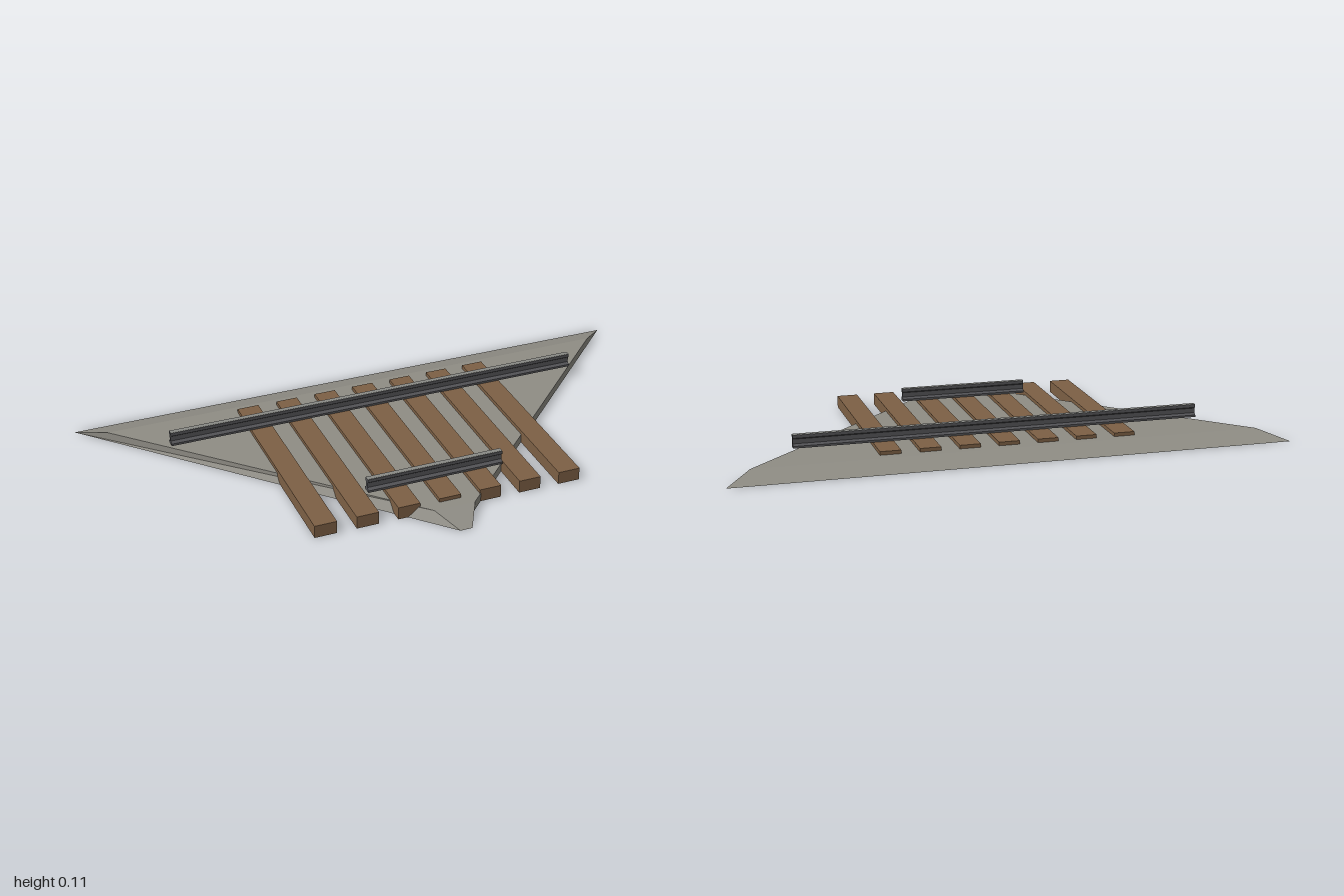
import * as THREE from 'three';

const material = (name, color, side = THREE.FrontSide) => {
  const m = new THREE.MeshStandardMaterial({ color, side });
  m.name = name;
  return m;
};

// Rail section: wide foot, thin web and a head, standing on y = 0
function railShape() {
  const half = [[0.018, 0], [0.018, 0.009], [0.006, 0.017], [0.006, 0.037], [0.012, 0.042], [0.012, 0.055]];
  const mirrored = half.map(([x, y]) => [-x, y]).reverse();
  return new THREE.Shape([...half, ...mirrored].map(([x, y]) => new THREE.Vector2(x, y)));
}

// Ballast bed cut to a corner, with sloping shoulders on both track sides
function ballastGeometry() {
  const h = 0.037;
  const base = [[-1, 0.7], [0.7, 0.735], [0.735, 0.7], [0.7, 0.7], [0.7, -1]];
  const top = [[-0.84, 0.7], [0.58, 0.7], [0.7, 0.58], [0.7, 0.58], [0.7, -0.84]];
  const pos = [];
  const put = (p, y) => pos.push(p[0], y, p[1]);
  const n = base.length;
  for (let i = 0; i < n; i++) {
    const j = (i + 1) % n;
    put(base[i], 0); put(base[j], 0); put(top[j], h);
    put(base[i], 0); put(top[j], h); put(top[i], h);
  }
  // flat top and underside
  for (const [a, b, c] of [[0, 1, 2], [0, 2, 4]]) {
    put(top[a], h); put(top[b], h); put(top[c], h);
  }
  for (const [a, b, c] of [[0, 3, 1], [1, 3, 2], [0, 4, 3]]) {
    put(base[a], 0); put(base[b], 0); put(base[c], 0);
  }
  const g = new THREE.BufferGeometry();
  g.setAttribute('position', new THREE.Float32BufferAttribute(pos, 3));
  g.computeVertexNormals();
  return g;
}

export function createModel() {
  const group = new THREE.Group();
  group.name = 'diagonalTrackCorner';
  const gravel = material('gravel grey', 0x8f8d85, THREE.DoubleSide);
  const wood = material('sleeper brown', 0x7d6045);
  const steel = material('rail dark steel', 0x555558);
  const worn = material('worn rail top', 0x8a8b87);
  const diagonal = Math.PI * 0.75;

  const add = (geometry, mat, name, parent = group) => {
    const mesh = new THREE.Mesh(geometry, mat);
    mesh.name = name;
    parent.add(mesh);
    return mesh;
  };

  add(ballastGeometry(), gravel, 'ballastBed');

  // Seven sleepers across the track
  const sleeperGeometry = new THREE.BoxGeometry(0.918, 0.052, 0.09);
  for (let i = 0; i < 7; i++) {
    const sleeper = add(sleeperGeometry, wood, `sleeper${i + 1}`);
    sleeper.position.set(-0.0745 + 0.1196 * i, 0.0265, 0.64 - 0.1188 * i);
    sleeper.rotation.y = diagonal;
  }

  // Long and short rail, each with a bright running surface
  const shape = railShape();
  for (const [name, x, z, length] of [['longRail', -0.553, 0.697, 1.768], ['shortRail', 0.3, 0.697, 0.566]]) {
    const rail = new THREE.Group();
    rail.name = name;
    rail.position.set(x, 0.0525, z);
    rail.rotation.y = diagonal;
    add(new THREE.ExtrudeGeometry(shape, { depth: length, bevelEnabled: false }), steel, `${name}Body`, rail);
    const surface = add(new THREE.BoxGeometry(0.02, 0.002, length), worn, `${name}RunningSurface`, rail);
    surface.position.set(0, 0.055, length / 2);
    group.add(rail);
  }
  return group;
}
